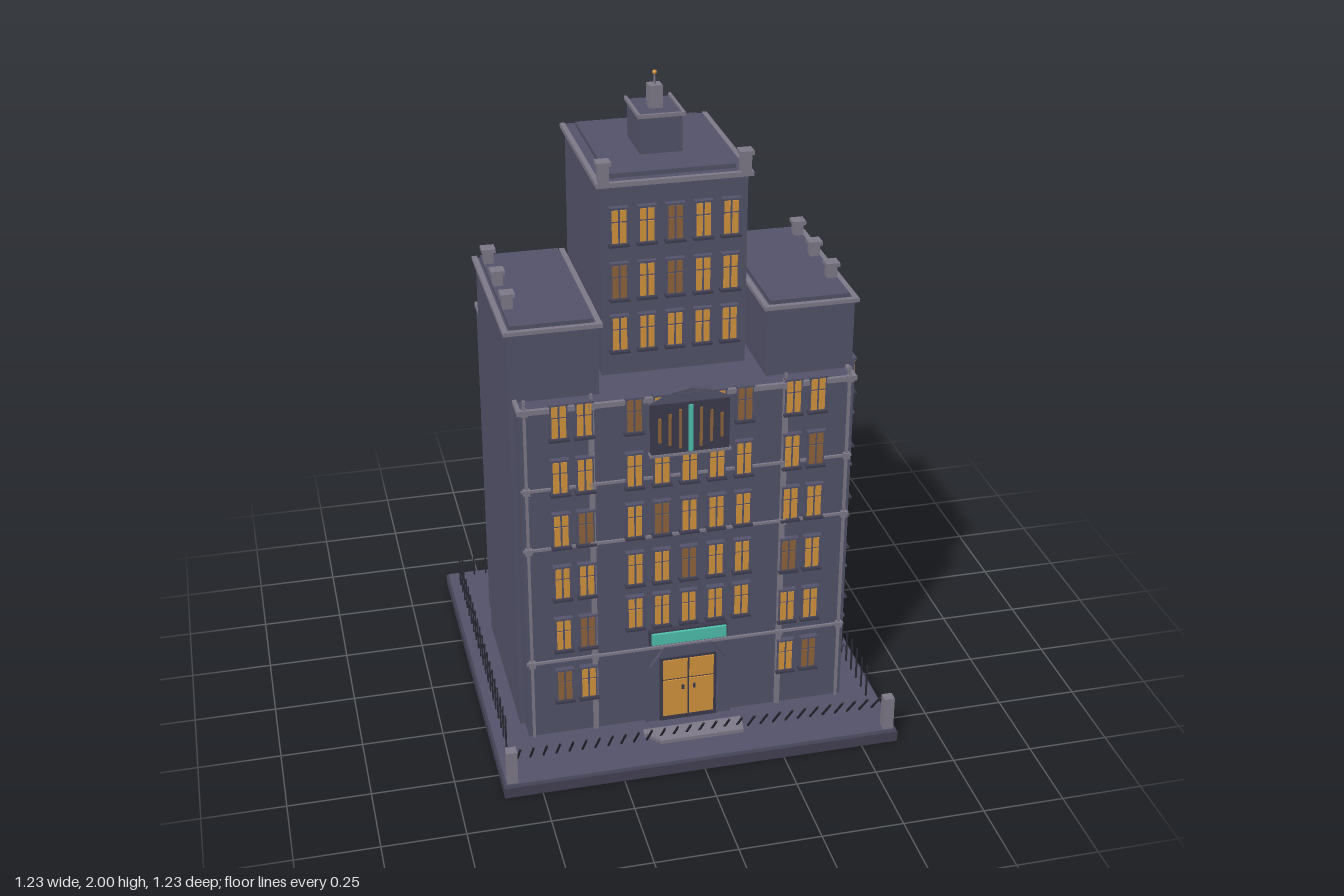
import * as THREE from 'three';

const mat = (name, color) => {
  const m = new THREE.MeshStandardMaterial({ color });
  m.name = name;
  return m;
};

export function createModel() {
  const M = {
    wall: mat('slate wall', 0x53526a),
    base: mat('dark plinth', 0x434154),
    trim: mat('grey trim', 0x7d7988),
    frame: mat('dark frame', 0x3c3b4d),
    lit: mat('lit amber', 0xd4943f),
    dim: mat('dim amber', 0x8f6339),
    teal: mat('teal', 0x4fc0ae),
    iron: mat('black iron', 0x292933),
  };
  const root = new THREE.Group();
  root.name = 'building';

  // box given by its extents
  const box = (name, m, x0, x1, y0, y1, z0, z1, parent = root) => {
    const mesh = new THREE.Mesh(new THREE.BoxGeometry(x1 - x0, y1 - y0, z1 - z0), m);
    mesh.position.set((x0 + x1) / 2, (y0 + y1) / 2, (z0 + z1) / 2);
    mesh.name = name;
    parent.add(mesh);
    return mesh;
  };
  // extruded outline facing +z
  const plate = (name, m, pts, z, depth) => {
    const shape = new THREE.Shape(pts.map(([x, y]) => new THREE.Vector2(x, y)));
    const mesh = new THREE.Mesh(new THREE.ExtrudeGeometry(shape, { depth, bevelEnabled: false }), m);
    mesh.position.z = z;
    mesh.name = name;
    root.add(mesh);
  };
  // cornice around the front and both sides, open at the back
  const cornice = (name, x0, x1, y0, y1, z0, z1, w) => {
    box(name + 'Front', M.trim, x0, x1, y0, y1, z1 - w, z1);
    box(name + 'Right', M.trim, x0, x0 + w, y0, y1, z0, z1 - w);
    box(name + 'Left', M.trim, x1 - w, x1, y0, y1, z0, z1 - w);
  };
  // chimney with a wider cap
  const chimney = (x, z, y0, y1) => {
    box('chimneyStack', M.trim, x - 0.015, x + 0.015, y0, y1 - 0.012, z - 0.015, z + 0.015);
    box('chimneyCap', M.trim, x - 0.021, x + 0.021, y1 - 0.012, y1, z - 0.021, z + 0.021);
  };

  // plinth and main masses
  box('plinth', M.base, -0.615, 0.615, 0, 0.034, -0.615, 0.615);
  box('pavement', M.wall, -0.608, 0.608, 0.034, 0.042, -0.608, 0.608);
  box('mainBlock', M.wall, -0.5, 0.5, 0.04, 1.16, -0.385, 0.385);
  cornice('mainCornice', -0.505, 0.505, 1.155, 1.17, -0.388, 0.396, 0.012);
  box('tower', M.wall, -0.217, 0.217, 1.15, 1.755, -0.312, 0.2);
  cornice('towerCornice', -0.23, 0.23, 1.75, 1.764, -0.322, 0.215, 0.015);
  box('towerRoof', M.wall, -0.216, 0.216, 1.755, 1.762, -0.318, 0.2);
  box('towerRoofSlab', M.wall, -0.188, 0.188, 1.76, 1.776, -0.288, 0.172);
  for (const s of [-1, 1]) {
    const [a, b] = s < 0 ? [-0.515, -0.25] : [0.25, 0.515];
    box('wing', M.wall, a, b, 0.04, 1.382, -0.242, 0.315);
    cornice('wingCornice', a - 0.011, b + 0.011, 1.374, 1.386, -0.248, 0.326, 0.016);
    box('wingRoofSlab', M.wall, a + 0.012, b - 0.012, 1.38, 1.395, -0.23, 0.302);
    for (const z of [-0.17, 0, 0.17]) chimney(s * 0.487, z, 1.385, 1.443);
    chimney(s * 0.208, 0.2, 1.755, 1.827);
  }

  // penthouse and spire
  box('penthouse', M.wall, -0.063, 0.063, 1.77, 1.89, -0.13, 0.037);
  cornice('penthouseCornice', -0.071, 0.071, 1.886, 1.897, -0.138, 0.046, 0.009);
  box('spireBase', M.trim, -0.02, 0.02, 1.89, 1.958, -0.066, -0.026);
  const pole = new THREE.Mesh(new THREE.CylinderGeometry(0.003, 0.004, 0.035, 8), M.trim);
  pole.position.set(0, 1.973, -0.046);
  pole.name = 'spirePole';
  const ball = new THREE.Mesh(new THREE.SphereGeometry(0.007, 12, 8), M.lit);
  ball.position.set(0, 1.993, -0.046);
  ball.name = 'spireBall';
  root.add(pole, ball);

  // windows: a dark frame, two casements and a sill
  const makeWindow = (x, y, z, dim, side) => {
    const g = new THREE.Group();
    g.name = side ? 'sideWindow' : 'frontWindow';
    const glass = dim ? M.dim : M.lit;
    box('windowFrame', M.wall, -0.026, 0.026, -0.056, 0.056, 0, 0.012, g);
    for (const s of [-1, 1]) {
      const [a, b] = s < 0 ? [-0.021, -0.003] : [0.003, 0.021];
      if (side) box('pane', glass, a, b, -0.05, 0.05, 0.01, 0.015, g);
      else {
        box('lowerPane', glass, a, b, -0.05, 0.012, 0.01, 0.015, g);
        box('upperPane', glass, a, b, 0.017, 0.05, 0.01, 0.015, g);
      }
    }
    box('windowSill', M.frame, -0.03, 0.03, -0.061, -0.055, 0, 0.022, g);
    box('windowHead', M.wall, -0.028, 0.028, 0.053, 0.059, 0, 0.018, g);
    g.position.set(x, y, z);
    if (side) g.rotation.y = Math.PI / 2;
    root.add(g);
  };
  // rows run from the top down; d marks a dim window
  const middleX = [-0.165, -0.083, 0, 0.083, 0.165];
  [[1.63, '..d..'], [1.46, 'd.d..'], [1.295, '.....']].forEach(([y, row]) =>
    middleX.forEach((x, i) => makeWindow(x, y, 0.2, row[i] === 'd', false)));
  [[1.12, 'd...d'], [0.94, '.....'], [0.77, '.d...'], [0.605, '..d..'], [0.45, '.....']].forEach(([y, row]) =>
    middleX.forEach((x, i) => makeWindow(x, y, 0.385, row[i] === 'd', false)));
  const rowsY = [1.125, 0.945, 0.767, 0.587, 0.405, 0.222];
  const bayRows = ['....', '...d', '.d..', '..d.', '.d..', 'd..d'];
  const sideRows = ['..dd.d', '.....d', '.....d', 'ddd.d.', 'd.d.d.', '....d.'];
  rowsY.forEach((y, r) => {
    [-0.386, -0.312, 0.312, 0.386].forEach((x, i) => makeWindow(x, y, 0.385, bayRows[r][i] === 'd', false));
    for (let i = 0; i < 6; i++) {
      makeWindow(i === 5 ? 0.5 : 0.515, y, 0.28 - i * 0.112, sideRows[r][i] === 'd', true);
    }
  });

  // string courses and pilasters on the facade
  for (const y of [0.308, 0.705, 0.905]) box('stringCourse', M.trim, -0.5, 0.5, y - 0.004, y + 0.004, 0.38, 0.392);
  for (const s of [-1, 1]) {
    for (const [x, w] of [[0.29, 0.008], [0.484, 0.004]]) {
      box('pilaster', M.trim, s * x - w, s * x + w, 0.04, 1.18, 0.38, 0.394);
      box('pilasterFinial', M.trim, s * x - 0.004, s * x + 0.004, 1.18, 1.2, 0.384, 0.392);
      for (const y of [0.308, 0.705, 0.905, 1.163]) {
        box('pilasterBlock', M.trim, s * x - 0.01, s * x + 0.01, y - 0.01, y + 0.01, 0.385, 0.4);
      }
    }
  }

  // bay panel with coloured stripes and a low pediment
  box('bayPanel', M.frame, -0.117, 0.117, 0.985, 1.15, 0.385, 0.406);
  for (let i = -3; i <= 3; i++) {
    const tall = i === 0 ? 0.075 : 0.075 - Math.abs(i) * 0.012;
    const w = i === 0 ? 0.007 : 0.004;
    box('panelStripe', i ? M.dim : M.teal, i * 0.031 - w, i * 0.031 + w, 1.067 - tall, 1.067 + tall, 0.404, 0.411);
  }
  box('panelSill', M.trim, -0.122, 0.122, 0.98, 0.988, 0.385, 0.41);
  plate('pediment', M.wall, [[-0.125, 1.15], [0.125, 1.15], [0.07, 1.178], [0, 1.192], [-0.07, 1.178]], 0.385, 0.016);

  // entrance: portal, doors and canopy board
  plate('portal', M.wall, [[-0.137, 0.04], [0.137, 0.04], [0.12, 0.24], [0.075, 0.308], [-0.075, 0.308], [-0.12, 0.24]], 0.385, 0.012);
  box('doorFrame', M.frame, -0.09, 0.09, 0.042, 0.272, 0.39, 0.4);
  for (const s of [-1, 1]) {
    const [a, b] = s < 0 ? [-0.08, -0.003] : [0.003, 0.08];
    box('door', M.lit, a, b, 0.06, 0.19, 0.398, 0.404);
    box('doorLight', M.lit, a, b, 0.196, 0.264, 0.398, 0.404);
    box('doorHandle', M.frame, s * 0.018 - 0.004, s * 0.018 + 0.004, 0.155, 0.17, 0.403, 0.408);
  }
  box('canopyBack', M.frame, -0.122, 0.122, 0.326, 0.374, 0.385, 0.402);
  box('canopyBoard', M.teal, -0.117, 0.117, 0.331, 0.369, 0.402, 0.411);

  // entrance step slabs
  for (let i = 0; i < 5; i++) {
    const w = 0.155 - i * 0.006, y = 0.05 + i * 0.011, z = 0.448 + i * 0.0255;
    box('step', M.trim, -w, w, y - 0.008, y + 0.004, z, z + 0.025);
  }

  // corner posts and iron railings
  for (const s of [-1, 1]) box('cornerPost', M.trim, s * 0.588 - 0.016, s * 0.588 + 0.016, 0.04, 0.152, 0.572, 0.604);
  const barGeo = new THREE.BoxGeometry(0.005, 0.115, 0.005);
  const bar = (x, z, tilt = 0) => {
    const b = new THREE.Mesh(barGeo, M.iron);
    b.position.set(x, tilt ? 0.112 : 0.098, z);
    b.rotation.x = tilt;
    b.name = 'railingBar';
    root.add(b);
  };
  for (let i = 0; i < 29; i++) {
    const x = -0.56 + i * 0.04;
    bar(x, -0.588);
    bar(x, 0.557, 0.7);
  }
  for (let i = 0; i < 20; i++) for (const s of [-1, 1]) bar(s * 0.577, -0.53 + i * 0.05);
  return root;
}
